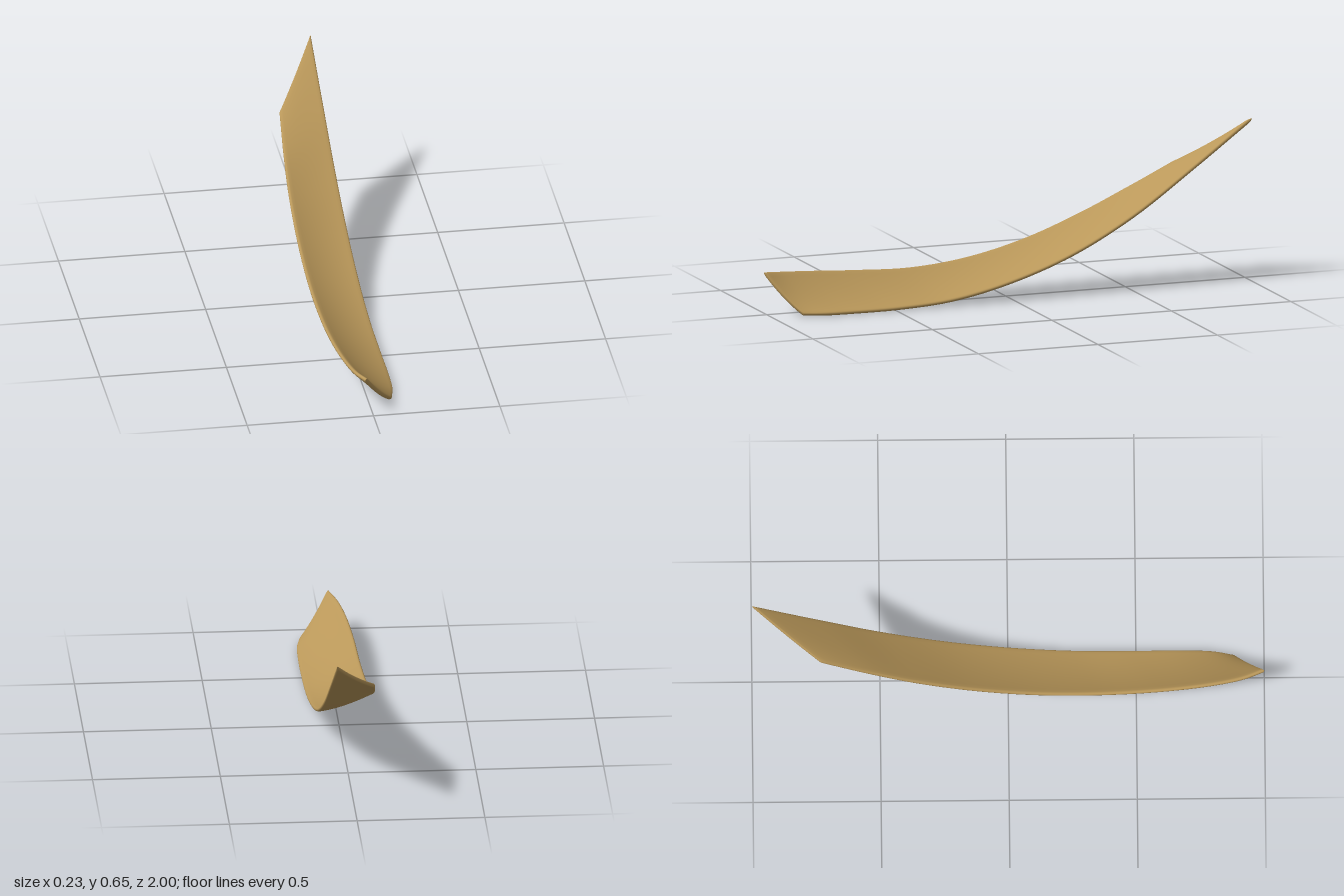
import * as THREE from 'three';

const vec = (p) => new THREE.Vector3(...p);
const curve = (pts) => new THREE.CatmullRomCurve3(pts.map(vec));

// The two long edges, from the raised back end to the front end
const rightEdge = curve([
  [-0.088, 0.463, -0.73], [-0.102, 0.377, -0.55], [-0.112, 0.287, -0.35], [-0.115, 0.203, -0.12],
  [-0.113, 0.147, 0.12], [-0.107, 0.125, 0.36], [-0.098, 0.134, 0.6], [-0.08, 0.149, 0.8],
  [-0.058, 0.159, 0.92], [-0.03, 0.168, 1],
]);
const leftEdge = curve([
  [0.079, 0.655, -1], [0.087, 0.482, -0.76], [0.095, 0.305, -0.5], [0.101, 0.17, -0.24],
  [0.105, 0.08, 0.02], [0.109, 0.029, 0.26], [0.112, 0.013, 0.48], [0.112, 0.011, 0.68],
  [0.106, 0.011, 0.8], [0.088, 0.012, 0.88],
]);

const HALF = 0.008; // half the thickness
const RU = 0.036;   // edge rounding across, as a share of the width
const RT = 0.005;   // edge rounding along, as a share of the length

// Sample positions from 0 to 1, crowded where the edges round off
function stops(r, n) {
  const edge = [0, 0.08, 0.35].map((e) => e * r);
  const middle = Array.from({ length: n + 1 }, (_, i) => r + (1 - 2 * r) * i / n);
  return [...edge, ...middle, ...edge.map((e) => 1 - e).reverse()];
}

const round = (v, r) => {
  const d = Math.min(v, 1 - v, r) / r;
  return Math.sqrt(Math.max(0, 1 - (1 - d) ** 2));
};

// Middle surface: straight between the edges, dished slightly downwards
function middle(u, t) {
  const p = rightEdge.getPoint(t).lerp(leftEdge.getPoint(t), u);
  const sag = 0.008 + 0.009 * Math.sin(Math.PI * Math.min(1, t * 0.85));
  p.y -= 4 * u * (1 - u) * sag;
  return p;
}

function normalAt(u, t) {
  const e = 0.004;
  const [u0, u1] = [Math.max(0, u - e), Math.min(1, u + e)];
  const [t0, t1] = [Math.max(0, t - e), Math.min(1, t + e)];
  const across = middle(u1, t).sub(middle(u0, t));
  const along = middle(u, t1).sub(middle(u, t0));
  return along.cross(across).normalize();
}

function plankGeometry() {
  const us = stops(RU, 16);
  const ts = stops(RT, 64);
  // Closed section: over the top, then back underneath
  const ring = [
    ...us.map((u) => [u, 1]),
    ...us.slice(1, -1).reverse().map((u) => [u, -1]),
  ];
  const positions = [];
  const index = [];
  const n = ring.length;
  ts.forEach((t, i) => {
    ring.forEach(([u, side], j) => {
      const h = HALF * side * round(u, RU) * round(t, RT);
      positions.push(...middle(u, t).addScaledVector(normalAt(u, t), h).toArray());
      if (i === ts.length - 1) return;
      const a = i * n + j;
      const b = i * n + (j + 1) % n;
      index.push(a, a + n, b, b, a + n, b + n);
    });
  });
  const geometry = new THREE.BufferGeometry();
  geometry.setAttribute('position', new THREE.Float32BufferAttribute(positions, 3));
  geometry.setIndex(index);
  geometry.computeBoundingBox();
  geometry.translate(0, -geometry.boundingBox.min.y, 0);
  geometry.computeVertexNormals();
  return geometry;
}

export function createModel() {
  const wood = new THREE.MeshStandardMaterial({ color: 0xba985a });
  wood.name = 'tan wood';
  const plank = new THREE.Mesh(plankGeometry(), wood);
  plank.name = 'curvedPlank';
  const group = new THREE.Group();
  group.name = 'bentPlank';
  group.add(plank);
  return group;
}
